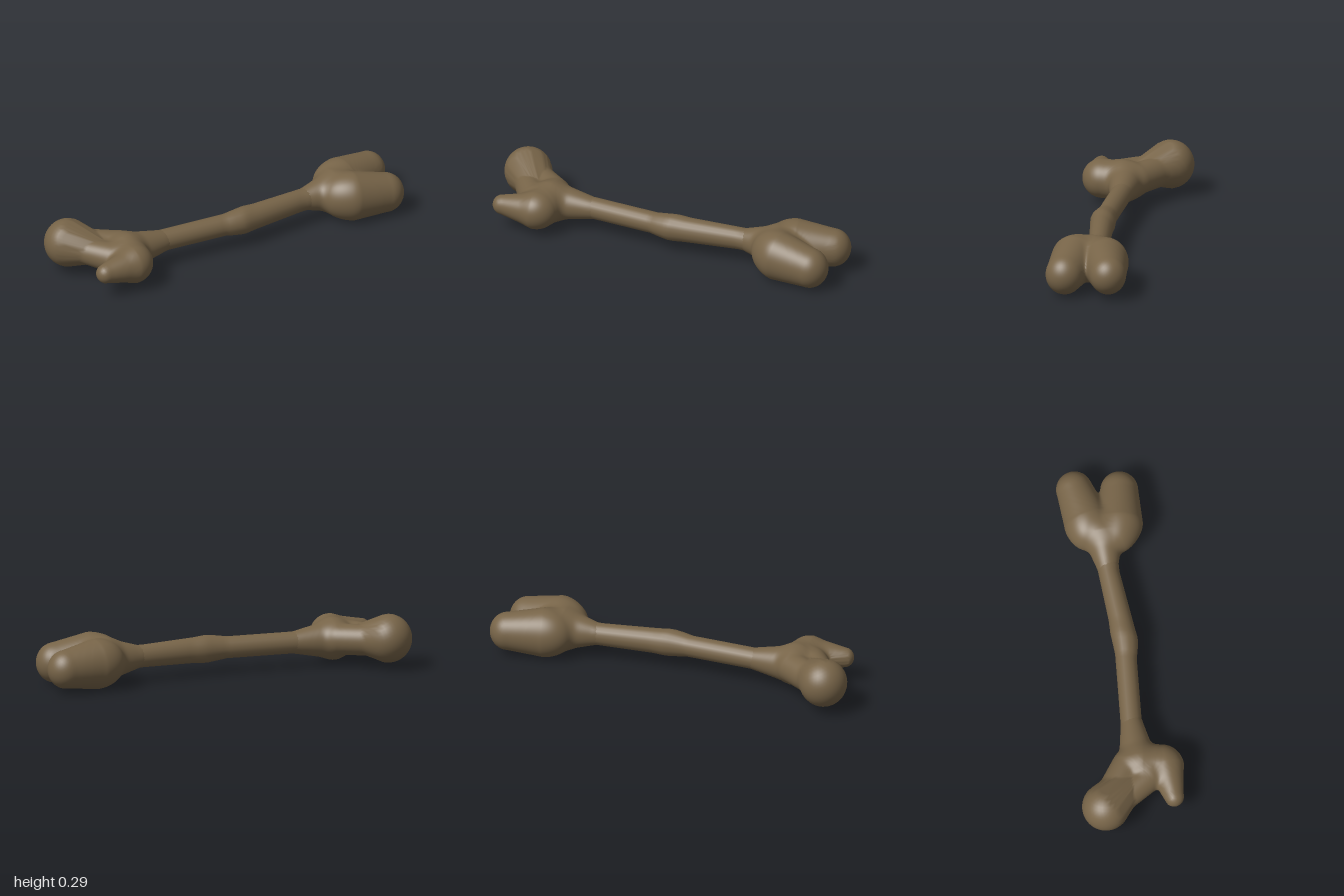
import * as THREE from 'three';
import { mergeVertices } from 'three/addons/utils/BufferGeometryUtils.js';

const BLEND = 0.03;

// Distance to a capsule whose radius tapers from ra to rb: [ax, ay, az, ra, bx, by, bz, rb]
function capsule(p, [ax, ay, az, ra, bx, by, bz, rb]) {
  const dx = bx - ax, dy = by - ay, dz = bz - az;
  const len2 = dx * dx + dy * dy + dz * dz;
  const dot = (p.x - ax) * dx + (p.y - ay) * dy + (p.z - az) * dz;
  const t = len2 ? THREE.MathUtils.clamp(dot / len2, 0, 1) : 0;
  return Math.hypot(p.x - ax - dx * t, p.y - ay - dy * t, p.z - az - dz * t) - (ra + (rb - ra) * t);
}

// Smoothly merged distance to all lobes
function lobes(p, list) {
  return list.reduce((d, c) => {
    const e = capsule(p, c);
    const h = Math.max(BLEND - Math.abs(d - e), 0) / BLEND;
    return Math.min(d, e) - h * h * BLEND / 4;
  }, 10);
}

// Shrink-wrap a sphere around the merged lobes, then fit its height
function knobGeometry(center, list, yMin, yMax) {
  let geo = new THREE.IcosahedronGeometry(1, 26);
  geo.deleteAttribute('uv');
  geo.deleteAttribute('normal');
  geo = mergeVertices(geo, 1e-5);
  const pos = geo.attributes.position;
  const dir = new THREE.Vector3(), p = new THREE.Vector3();
  for (let i = 0; i < pos.count; i++) {
    dir.fromBufferAttribute(pos, i).normalize();
    let t = 0.6;
    for (let n = 0; n < 60; n++) {
      const d = lobes(p.copy(center).addScaledVector(dir, t), list);
      if (d < 0.0003) break;
      t = Math.max(t - d * 0.9, 0.02);
    }
    pos.setXYZ(i, p.x, p.y, p.z);
  }
  geo.computeBoundingBox();
  const { min, max } = geo.boundingBox;
  const s = (yMax - yMin) / (max.y - min.y);
  for (let i = 0; i < pos.count; i++) pos.setY(i, yMin + (pos.getY(i) - min.y) * s);
  geo.computeVertexNormals();
  return geo;
}

// Linear interpolation in a table of [x, value] rows
function lookup(rows, x, k) {
  let i = 0;
  while (i < rows.length - 2 && x > rows[i + 1][0]) i++;
  const a = rows[i], b = rows[i + 1];
  return THREE.MathUtils.lerp(a[k], b[k], (x - a[0]) / (b[0] - a[0]));
}

// Slightly bent shaft with a swelling near the middle: [x, z, radius]
function shaftGeometry() {
  const rows = [
    [-0.5, 0.17, 0.062], [-0.4, 0.143, 0.058], [-0.02, 0.042, 0.058],
    [0.03, 0.03, 0.066], [0.09, 0.012, 0.074], [0.16, -0.016, 0.068],
    [0.44, -0.138, 0.06], [0.56, -0.18, 0.066],
  ];
  const geo = new THREE.CylinderGeometry(1, 1, 1.06, 20, 53, true);
  geo.rotateZ(-Math.PI / 2);
  geo.translate(0.03, 0, 0);
  const pos = geo.attributes.position;
  for (let i = 0; i < pos.count; i++) {
    const x = pos.getX(i), r = lookup(rows, x, 2);
    pos.setXYZ(i, x, 0.135 + pos.getY(i) * r, lookup(rows, x, 1) + pos.getZ(i) * r);
  }
  geo.deleteAttribute('uv');
  geo.deleteAttribute('normal');
  const merged = mergeVertices(geo, 1e-5);
  merged.computeVertexNormals();
  return merged;
}

export function createModel() {
  const group = new THREE.Group();
  const bone = new THREE.MeshStandardMaterial({ color: 0x776448 });
  bone.name = 'agedBone';
  const add = (name, geo) => {
    const mesh = new THREE.Mesh(geo, bone);
    mesh.name = name;
    group.add(mesh);
  };

  add('shaft', shaftGeometry());

  // Hip end: round ball, broad neck and the outer spur
  add('ballEnd', knobGeometry(new THREE.Vector3(-0.6, 0.14, 0.27), [
    [-0.873, 0.162, 0.095, 0.126, -0.873, 0.162, 0.095, 0.126],
    [-0.82, 0.15, 0.1, 0.08, -0.62, 0.145, 0.16, 0.08],
    [-0.82, 0.15, 0.17, 0.065, -0.66, 0.14, 0.28, 0.08],
    [-0.59, 0.135, 0.24, 0.108, -0.57, 0.135, 0.34, 0.098],
    [-0.59, 0.135, 0.365, 0.092, -0.745, 0.14, 0.435, 0.052],
    [-0.58, 0.135, 0.21, 0.1, -0.36, 0.135, 0.133, 0.054],
  ], 0.02, 0.29));

  // Knee end: broad head split into two rounded lobes
  add('kneeEnd', knobGeometry(new THREE.Vector3(0.71, 0.133, -0.22), [
    [0.45, 0.135, -0.143, 0.055, 0.62, 0.135, -0.2, 0.105],
    [0.64, 0.135, -0.28, 0.108, 0.65, 0.135, -0.14, 0.108],
    [0.69, 0.133, -0.3, 0.124, 0.85, 0.13, -0.397, 0.096],
    [0.71, 0.133, -0.13, 0.124, 0.895, 0.115, -0.165, 0.1],
  ], 0, 0.265));

  return group;
}
